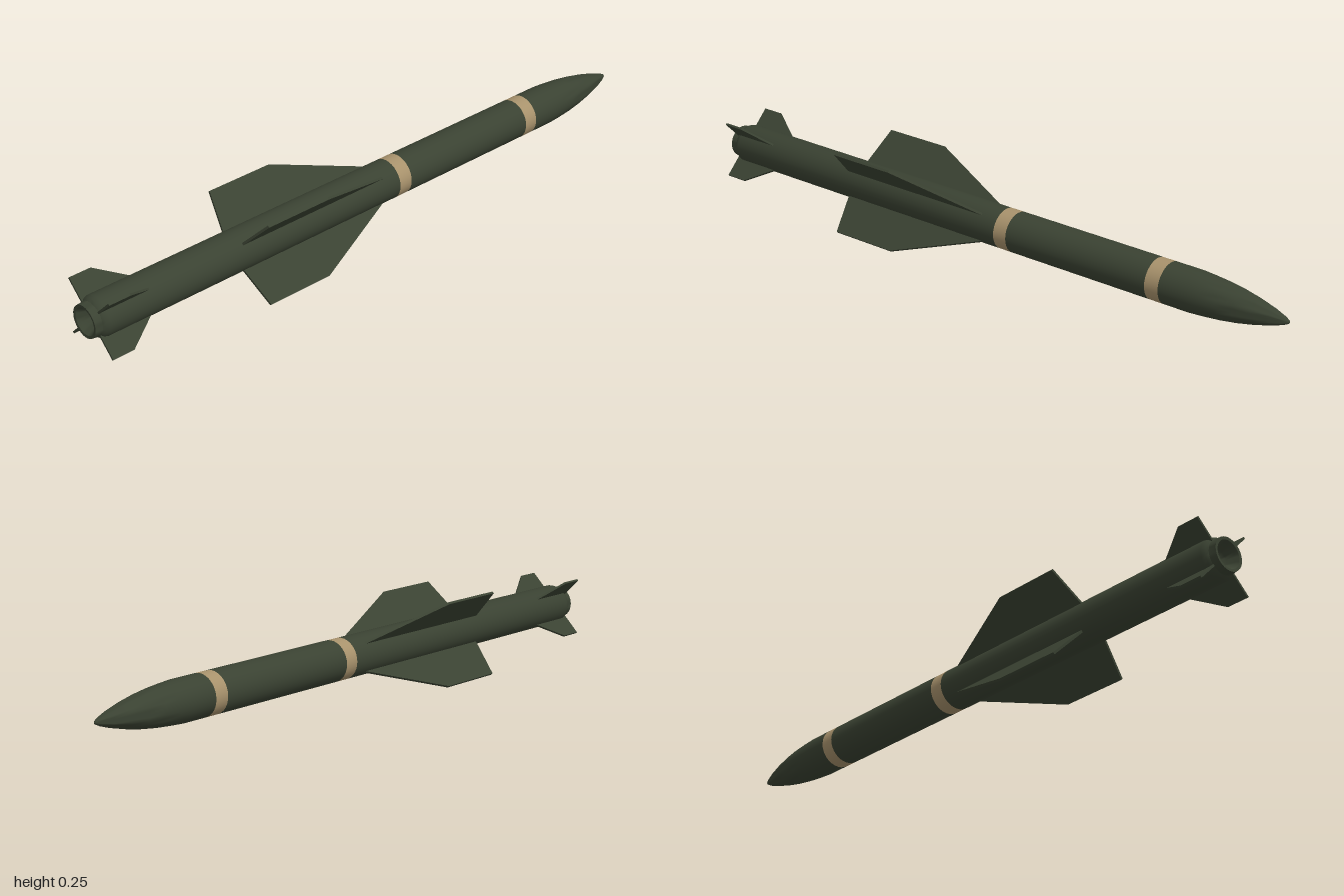
import * as THREE from 'three';
import { toCreasedNormals } from 'three/addons/utils/BufferGeometryUtils.js';

const R = 0.06, CENTRE_Y = 0.128;

export function createModel() {
  const group = new THREE.Group();
  const green = new THREE.MeshStandardMaterial({ color: 0x3a4232, name: 'darkGreen' });
  const tan = new THREE.MeshStandardMaterial({ color: 0xa8926c, name: 'tanBand' });

  const add = (name, geometry, material) => {
    const mesh = new THREE.Mesh(geometry, material);
    mesh.name = name;
    mesh.position.y = CENTRE_Y;
    group.add(mesh);
    return mesh;
  };

  // Turned part along z; profile is [radius, z] pairs running from tail to nose
  const turned = (name, profile, material) => {
    const points = profile.map(([r, z]) => new THREE.Vector2(r, -z));
    const geometry = new THREE.LatheGeometry(points, 32).rotateX(-Math.PI / 2);
    add(name, toCreasedNormals(geometry, 0.6), material);
  };

  // Rear body with rounded shoulder and dished nozzle
  turned('rearBody', [
    [0, 0.955], [0.012, 0.957], [0.024, 0.967], [0.035, 0.99], [0.04, 0.999], [0.048, 1],
    [0.05, 0.978], [0.056, 0.972], [R, 0.96], [R, -0.063],
  ], green);
  turned('rearBand', [[R, -0.063], [R, -0.107]], tan);
  turned('midBody', [[R, -0.107], [R, -0.583]], green);
  turned('frontBand', [[R, -0.583], [R, -0.627]], tan);

  // Ogive nose cone
  turned('noseCone', [
    [R, -0.627], [R, -0.71], [0.0575, -0.75], [0.053, -0.8], [0.046, -0.85],
    [0.036, -0.9], [0.023, -0.95], [0.012, -0.982], [0.005, -0.996], [0, -1],
  ], green);

  // Four identical fins in a diagonal cross; outline is [radius, z] pairs
  const fins = (name, outline, thickness) => {
    const shape = new THREE.Shape(outline.map(([r, z]) => new THREE.Vector2(r, -z)));
    const geometry = new THREE.ExtrudeGeometry(shape, { depth: thickness, bevelEnabled: false });
    geometry.translate(0, 0, -thickness / 2).rotateX(-Math.PI / 2);
    for (let i = 0; i < 4; i++) {
      add(name + (i + 1), geometry, green).rotation.z = Math.PI / 4 + i * Math.PI / 2;
    }
  };
  fins('wing', [[0.055, -0.02], [0.176, 0.27], [0.176, 0.482], [0.055, 0.507]], 0.007);
  fins('tailFin', [[0.055, 0.815], [0.121, 0.912], [0.121, 0.98], [0.045, 0.98]], 0.006);

  return group;
}
